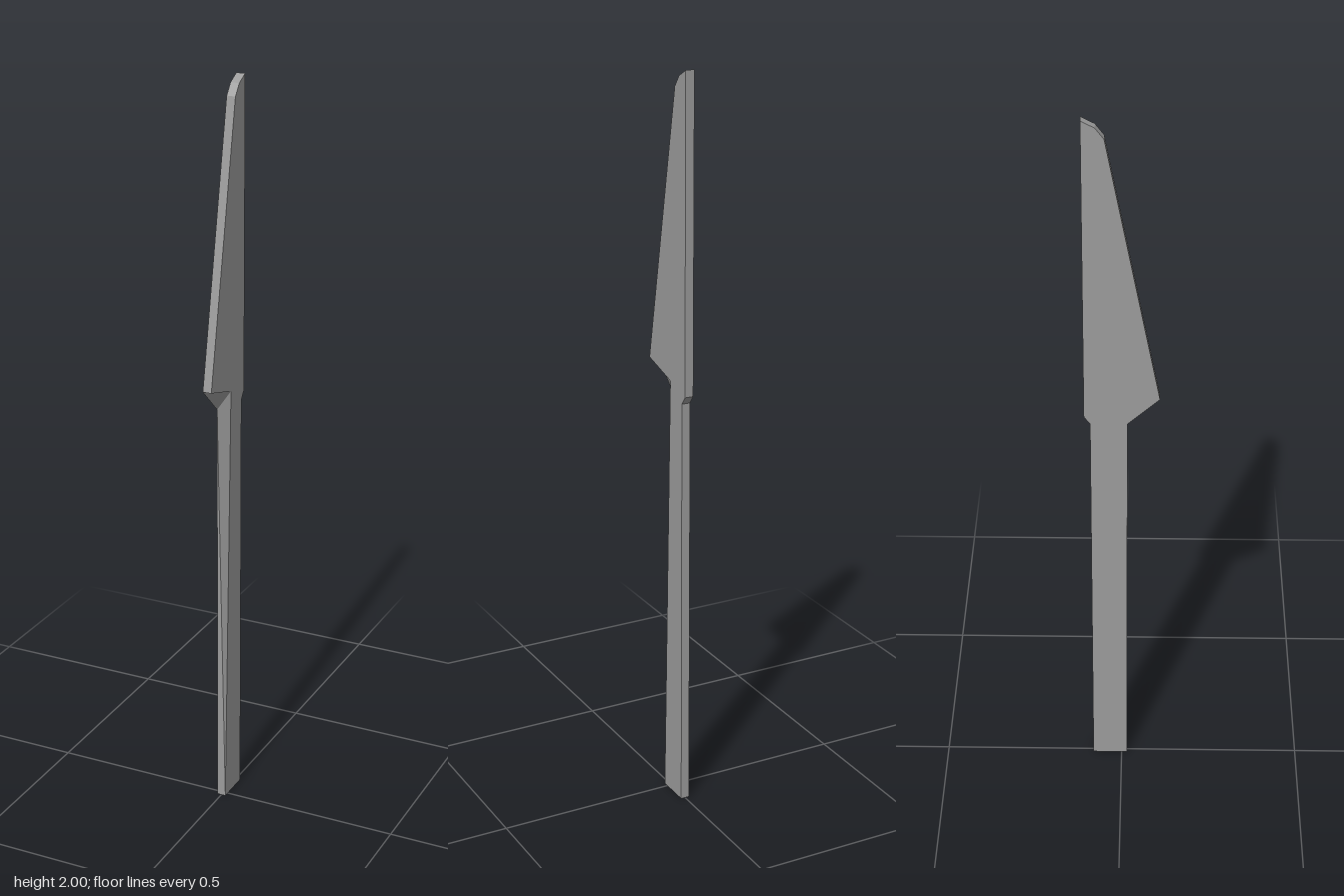
import * as THREE from 'three';

const HALF = 0.012; // half thickness of the flat knife

// Outline as [z, y], counter-clockwise seen from +x; the neck point differs per side
const outline = (neck) => [
  [0.015, 0], [-0.081, 0],                              // handle butt
  [-0.081, 1.145], [-0.097, 1.167],                     // handle back, step to spine
  [-0.097, 2], [-0.063, 1.982], [-0.041, 1.953],        // spine and rounded tip
  [0.098, 1.222],                                       // heel of the cutting edge
  neck,
];

// Flat slab joining two outlines that have the same number of points
function slab(leftSide, rightSide) {
  const positions = [];
  const L = leftSide.map(([z, y]) => [HALF, y, z]);
  const R = rightSide.map(([z, y]) => [-HALF, y, z]);
  const tri = (a, b, c) => positions.push(...a, ...b, ...c);
  const caps = (side) => THREE.ShapeUtils.triangulateShape(
    side.map(([z, y]) => new THREE.Vector2(-z, y)), []);

  // Flat faces
  for (const [a, b, c] of caps(leftSide)) tri(L[a], L[b], L[c]);
  for (const [a, b, c] of caps(rightSide)) tri(R[a], R[c], R[b]);

  // Rim
  for (let i = 0; i < L.length; i++) {
    const j = (i + 1) % L.length;
    tri(L[i], R[i], L[j]);
    tri(R[i], R[j], L[j]);
  }

  const geometry = new THREE.BufferGeometry();
  geometry.setAttribute('position', new THREE.Float32BufferAttribute(positions, 3));
  geometry.computeVertexNormals();
  return geometry;
}

export function createModel() {
  const group = new THREE.Group();
  group.name = 'knife';

  // Blade and handle in one piece, with the neck cut in deeper on the +x side
  const body = new THREE.Mesh(
    slab(outline([-0.018, 1.19]), outline([0.015, 1.146])),
    new THREE.MeshStandardMaterial({ color: 0x9c9c9c, flatShading: true }),
  );
  body.name = 'bladeAndHandle';
  group.add(body);
  return group;
}
